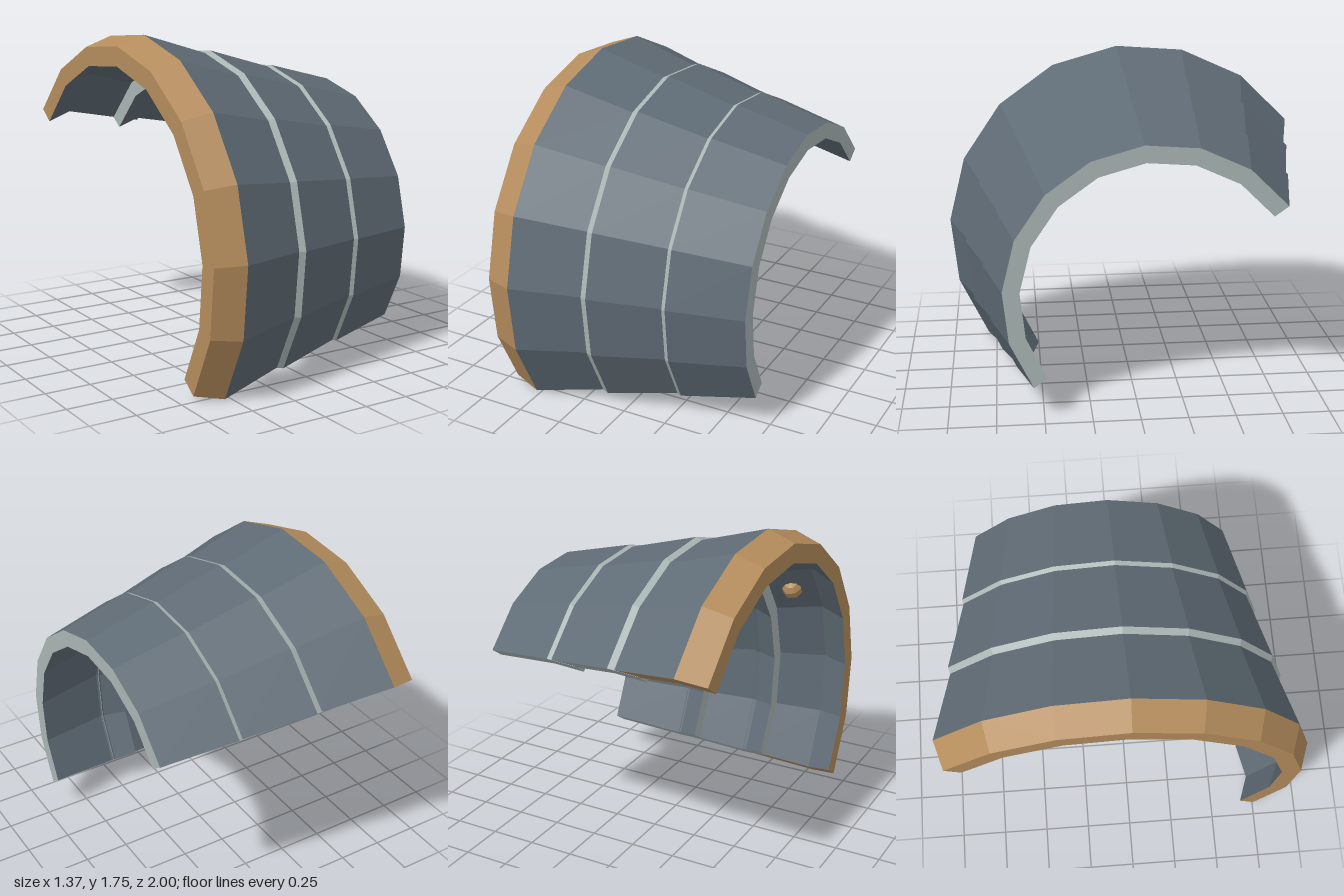
import * as THREE from 'three';

const SEGMENTS = 9, START = -0.625, SWEEP = Math.PI;
const AXIS_Y = 0.65, AXIS_Z = -0.1;

const mat = (name, color) => {
  const m = new THREE.MeshStandardMaterial({ color, flatShading: true });
  m.name = name;
  return m;
};

// Point at distance r from the shell's axis, which runs along x
const at = ([x, r], a) => [x, AXIS_Y + r * Math.sin(a), AXIS_Z + r * Math.cos(a)];

function quadMesh(name, quads, material) {
  const pos = [];
  for (const [a, b, c, d] of quads) pos.push(...a, ...b, ...c, ...a, ...c, ...d);
  const geo = new THREE.BufferGeometry();
  geo.setAttribute('position', new THREE.Float32BufferAttribute(pos, 3));
  geo.computeVertexNormals();
  const mesh = new THREE.Mesh(geo, material);
  mesh.name = name;
  return mesh;
}

// One curved plate: bent lip on the wide side, then a tapering band
function makePlate(name, outer, thickness, extra, faceMat, rimMat) {
  const inner = outer.map(([x, r], i) => [x, r - (i === 0 ? thickness + 0.015 : thickness)]);
  const [o0, o1, o2] = outer, [i0, i1, i2] = inner;
  const faces = [], rims = [];
  const start = START - extra, step = (SWEEP + 2 * extra) / SEGMENTS;
  const strips = [
    [o0, o1, rims], [o1, o2, faces], [o2, i2, rims],
    [i2, i1, faces], [i1, i0, faces], [i0, o0, rims],
  ];
  for (let s = 0; s < SEGMENTS; s++) {
    const a = start + s * step, b = a + step;
    for (const [p, q, list] of strips) list.push([at(p, a), at(q, a), at(q, b), at(p, b)]);
  }
  // Closing faces at both ends of the arc
  const end = start + step * SEGMENTS;
  for (const [p, q, u, v] of [[o0, o1, i1, i0], [o1, o2, i2, i1]]) {
    rims.push([p, v, u, q].map((c) => at(c, start)));
    rims.push([p, q, u, v].map((c) => at(c, end)));
  }
  const group = new THREE.Group();
  group.name = name;
  group.add(quadMesh(name + 'Face', faces, faceMat), quadMesh(name + 'Rim', rims, rimMat));
  return group;
}

export function createModel() {
  const slate = mat('slate', 0x5f6b75);
  const tan = mat('tan', 0xb48c5c);
  const paleGrey = mat('paleGrey', 0xa9b5b3);

  const model = new THREE.Group();
  model.name = 'shoulderGuard';

  // Overlapping plates, from wide to narrow: [x, radius] along the outside
  const plates = [
    { name: 'widePlate', outer: [[-0.685, 1.052], [-0.53, 1.107], [-0.13, 0.987]], rim: tan, stud: [-0.39, 0.965] },
    { name: 'middlePlate', outer: [[-0.27, 0.956], [-0.12, 1.006], [0.275, 0.895]], rim: paleGrey, stud: [0.05, 0.858] },
    { name: 'narrowPlate', outer: [[0.145, 0.86], [0.285, 0.906], [0.685, 0.806]], rim: paleGrey, stud: [0.44, 0.768] },
  ];
  const studAngle = START + (SWEEP / SEGMENTS) * 3.5;

  plates.forEach((p, i) => {
    const plate = makePlate(p.name, p.outer, 0.09, i * 0.0015, slate, p.rim);
    // Rivet on the inside of the plate
    const stud = new THREE.Mesh(new THREE.SphereGeometry(0.06, 7, 5), tan);
    stud.name = 'innerRivet';
    stud.position.set(...at(p.stud, studAngle));
    stud.rotation.x = -studAngle;
    plate.add(stud);
    model.add(plate);
  });
  return model;
}
